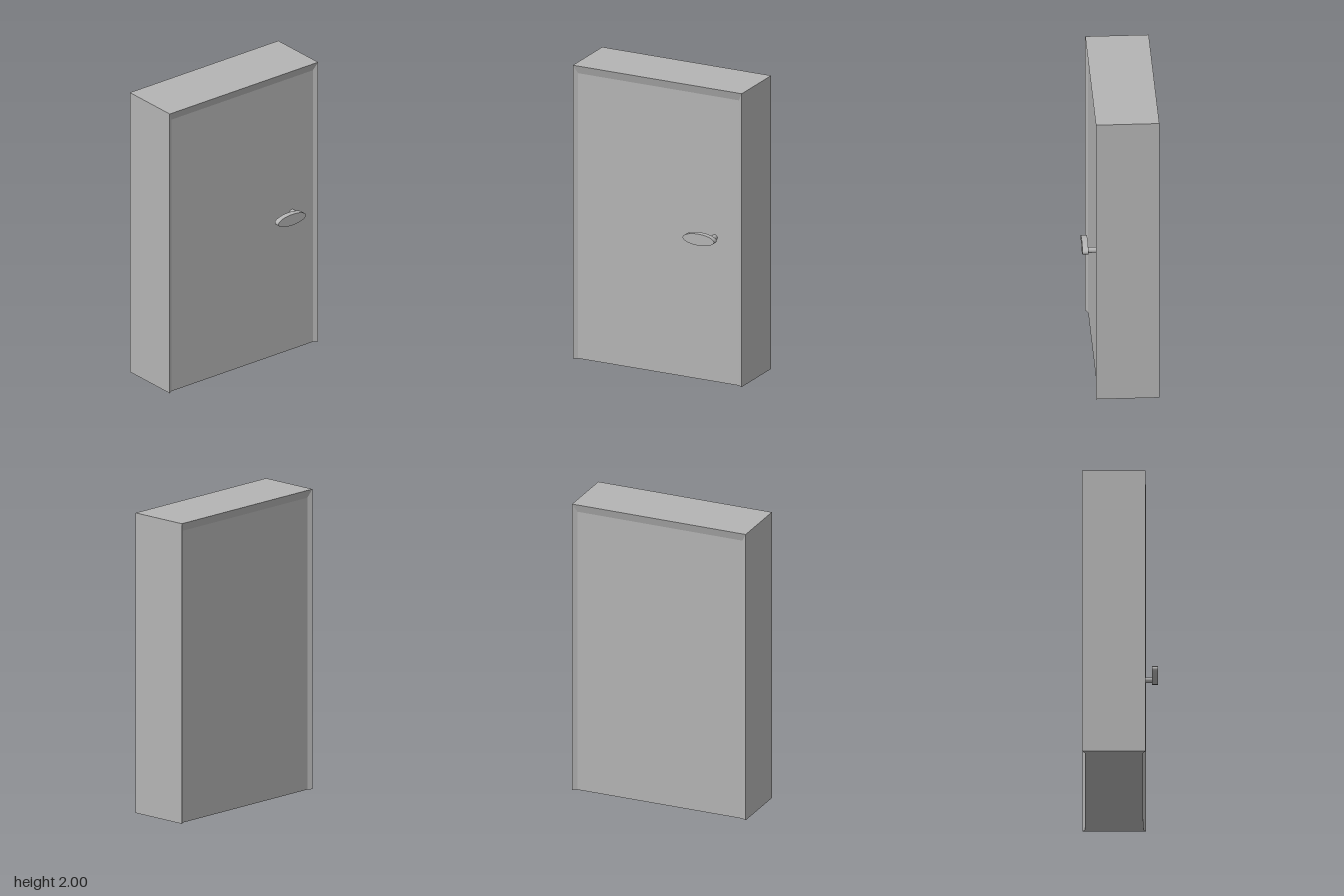
import * as THREE from 'three';

const grey = new THREE.MeshStandardMaterial({ color: 0xb4b4b4 });
grey.name = 'grey';

// Joins horizontal cross-sections (arrays of [x, y, z]) into a closed flat-faced solid
function loftSections(sections) {
  const pos = [];
  const tri = (a, b, c) => pos.push(...a, ...b, ...c);
  for (let s = 0; s < sections.length - 1; s++) {
    const a = sections[s], b = sections[s + 1];
    for (let i = 0; i < a.length; i++) {
      const j = (i + 1) % a.length;
      tri(a[i], b[i], a[j]);
      tri(a[j], b[i], b[j]);
    }
  }
  const bottom = sections[0], top = sections[sections.length - 1];
  const outline = bottom.map(([x, , z]) => new THREE.Vector2(x, z));
  for (const [i, j, k] of THREE.ShapeUtils.triangulateShape(outline, [])) {
    tri(bottom[i], bottom[j], bottom[k]);
    tri(top[k], top[j], top[i]);
  }
  const geometry = new THREE.BufferGeometry();
  geometry.setAttribute('position', new THREE.Float32BufferAttribute(pos, 3));
  geometry.computeVertexNormals();
  return geometry;
}

function addMesh(group, name, geometry) {
  const mesh = new THREE.Mesh(geometry, grey);
  mesh.name = name;
  group.add(mesh);
  return mesh;
}

export function createModel() {
  const model = new THREE.Group();
  model.name = 'door';

  // Door slab: both faces slightly sunken, with a sloped border on the sides and top
  const W = 0.615, front = 0.165, back = -0.245;
  const plan = (y, w, sink) => [
    [W, back], [W, front], [w, front - sink], [-w, front - sink],
    [-W, front], [-W, back], [-w, back + sink], [w, back + sink],
  ].map(([x, z]) => [x, y, z]);
  addMesh(model, 'doorSlab', loftSections([
    plan(0, 0.585, 0.017), plan(1.945, 0.585, 0.017), plan(2, W, 0),
  ]));

  // Handle: round stem carrying an oval lever
  const handle = new THREE.Group();
  handle.name = 'handle';
  handle.position.y = 0.983;
  model.add(handle);

  const stem = addMesh(handle, 'handleStem', new THREE.CylinderGeometry(0.019, 0.019, 0.07, 32));
  stem.rotation.x = Math.PI / 2;
  stem.position.set(0.41, 0, 0.175);

  const oval = new THREE.CylinderGeometry(1, 1, 0.038, 48).rotateX(Math.PI / 2).scale(0.114, 0.039, 1);
  addMesh(handle, 'handleLever', oval).position.set(0.338, 0, 0.223);

  return model;
}
